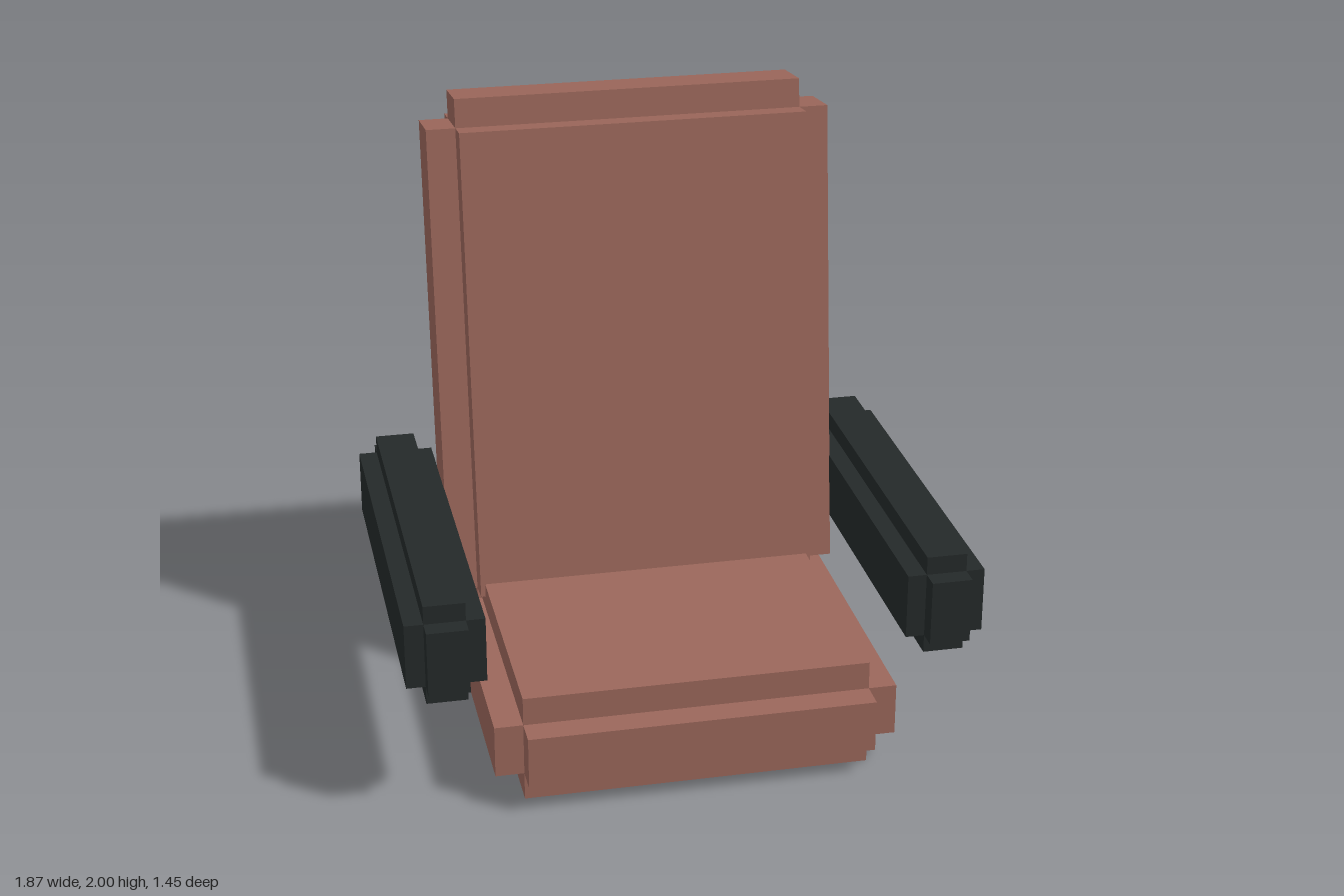
import * as THREE from 'three';

// Block with stepped edges: three crossing boxes, each full-length along one axis only
function steppedBlock(name, full, inner, material) {
  const group = new THREE.Group();
  group.name = name;
  ['Sides', 'TopBottom', 'FrontBack'].forEach((label, axis) => {
    const size = inner.map((s, i) => (i === axis ? full[i] : s));
    const mesh = new THREE.Mesh(new THREE.BoxGeometry(...size), material);
    mesh.name = name + label;
    group.add(mesh);
  });
  return group;
}

export function createModel() {
  const model = new THREE.Group();
  model.name = 'seatWithArmrests';
  const leather = new THREE.MeshStandardMaterial({ color: 0x9b675b });
  const black = new THREE.MeshStandardMaterial({ color: 0x242929 });

  // Seat cushion
  const seat = steppedBlock('seat', [1.32, 0.365, 1.276], [1.134, 0.176, 1.09], leather);
  seat.position.set(0, 0.1825, 0.093);
  model.add(seat);

  // Reclined backrest, its lower end sunk into the seat
  const back = steppedBlock('backrest', [1.36, 1.8, 0.375], [1.165, 1.607, 0.191], leather);
  back.position.set(0, 1.096, -0.439);
  back.rotation.x = -0.121;
  model.add(back);

  // Armrests
  for (const [side, name] of [[1, 'leftArmrest'], [-1, 'rightArmrest']]) {
    const arm = steppedBlock(name, [0.254, 0.34, 1.43], [0.132, 0.218, 1.302], black);
    arm.position.set(side * 0.806, 0.565, 0.005);
    model.add(arm);
  }
  return model;
}
